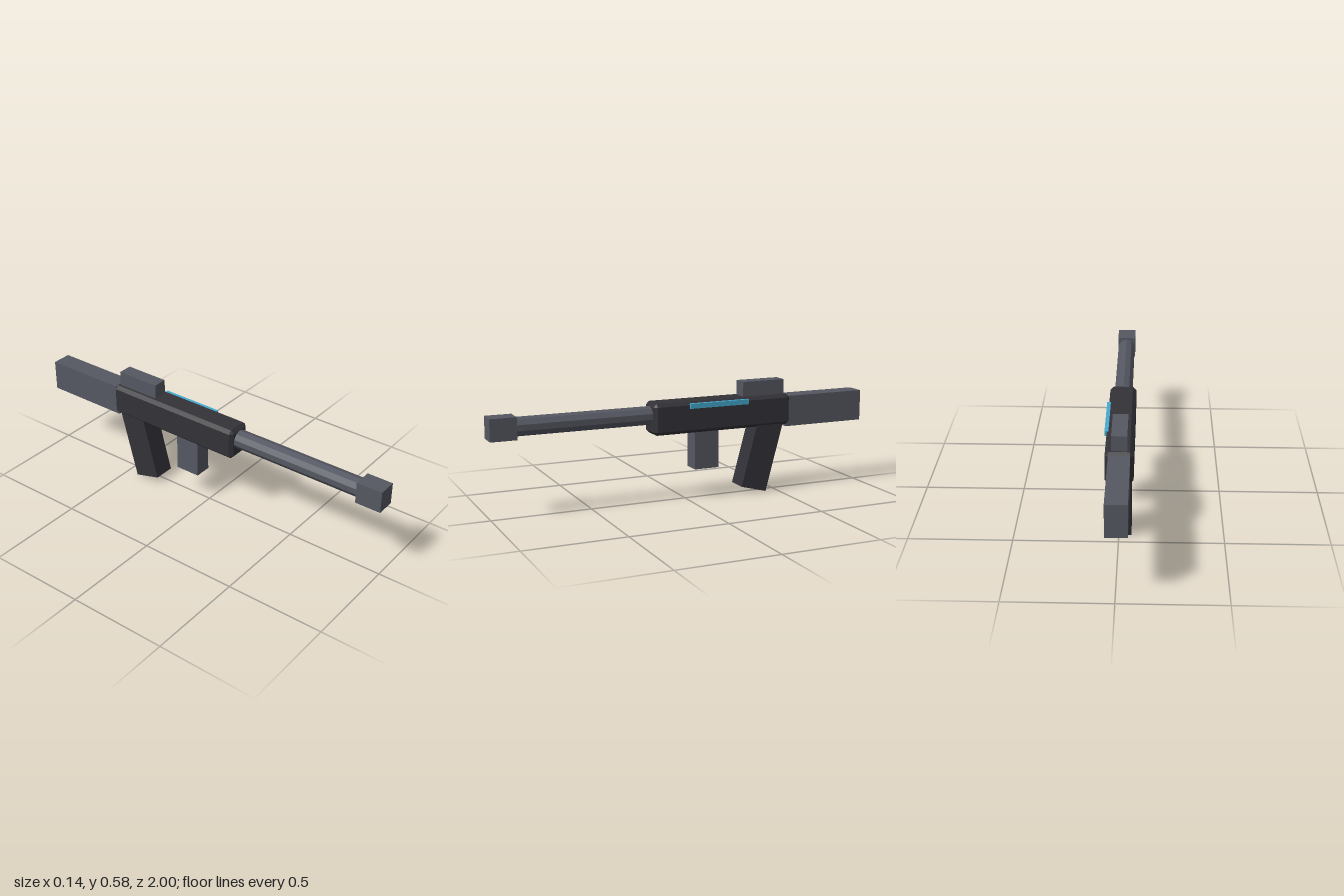
import * as THREE from 'three';
import { ConvexGeometry } from 'three/addons/geometries/ConvexGeometry.js';

const CX = -0.0055; // the main axis sits slightly off centre because of the side strip

const mat = (name, color) => {
  const m = new THREE.MeshStandardMaterial({ color, flatShading: true });
  m.name = name;
  return m;
};

// Box with every edge and corner cut flat
function chamferedBox(w, h, d, c) {
  const pts = [];
  for (const x of [-w / 2, w / 2]) for (const y of [-h / 2, h / 2]) for (const z of [-d / 2, d / 2]) {
    const p = new THREE.Vector3(x, y, z);
    for (let axis = 0; axis < 3; axis++) {
      const q = p.clone();
      for (let k = 0; k < 3; k++) {
        if (k !== axis) q.setComponent(k, q.getComponent(k) - Math.sign(q.getComponent(k)) * c);
      }
      pts.push(q);
    }
  }
  return new ConvexGeometry(pts);
}

export function createModel() {
  const model = new THREE.Group();
  const grey = mat('slateGrey', 0x555862);
  const dark = mat('charcoal', 0x333238);
  const blue = mat('glowBlue', 0x46aad0);

  const add = (name, geometry, material, x, y, z) => {
    const mesh = new THREE.Mesh(geometry, material);
    mesh.name = name;
    mesh.position.set(x, y, z);
    model.add(mesh);
    return mesh;
  };
  // Box given by its width and its y and z ranges
  const box = (name, material, w, y0, y1, z0, z1, x = CX) =>
    add(name, new THREE.BoxGeometry(w, y1 - y0, z1 - z0), material, x, (y0 + y1) / 2, (z0 + z1) / 2);

  // Main body
  add('body', chamferedBox(0.131, 0.159, 0.756, 0.017), dark, CX, 0.424, -0.19);

  // Ten-sided barrel with an edge along the top
  const barrel = new THREE.CylinderGeometry(0.047, 0.047, 0.74, 10);
  barrel.rotateX(Math.PI / 2);
  add('barrel', barrel, grey, CX, 0.44, 0.52);

  // Plain blocks
  box('muzzle', grey, 0.095, 0.385, 0.494, 0.87, 1);
  box('stock', grey, 0.1, 0.333, 0.491, -1, -0.55);
  box('sight', grey, 0.073, 0.49, 0.578, -0.542, -0.309);
  box('foregrip', grey, 0.088, 0.153, 0.37, -0.168, -0.038);

  // Side light strip
  box('sideStrip', blue, 0.02, 0.47, 0.495, -0.323, 0, 0.06);

  // Grip leaning back towards the top, pivoting at the middle of its lower end
  const grip = new THREE.BoxGeometry(0.11, 0.37, 0.144);
  grip.translate(0, 0.185, 0);
  add('rearGrip', grip, dark, CX, 0.0195, -0.3665).rotation.x = -THREE.MathUtils.degToRad(15);

  return model;
}
